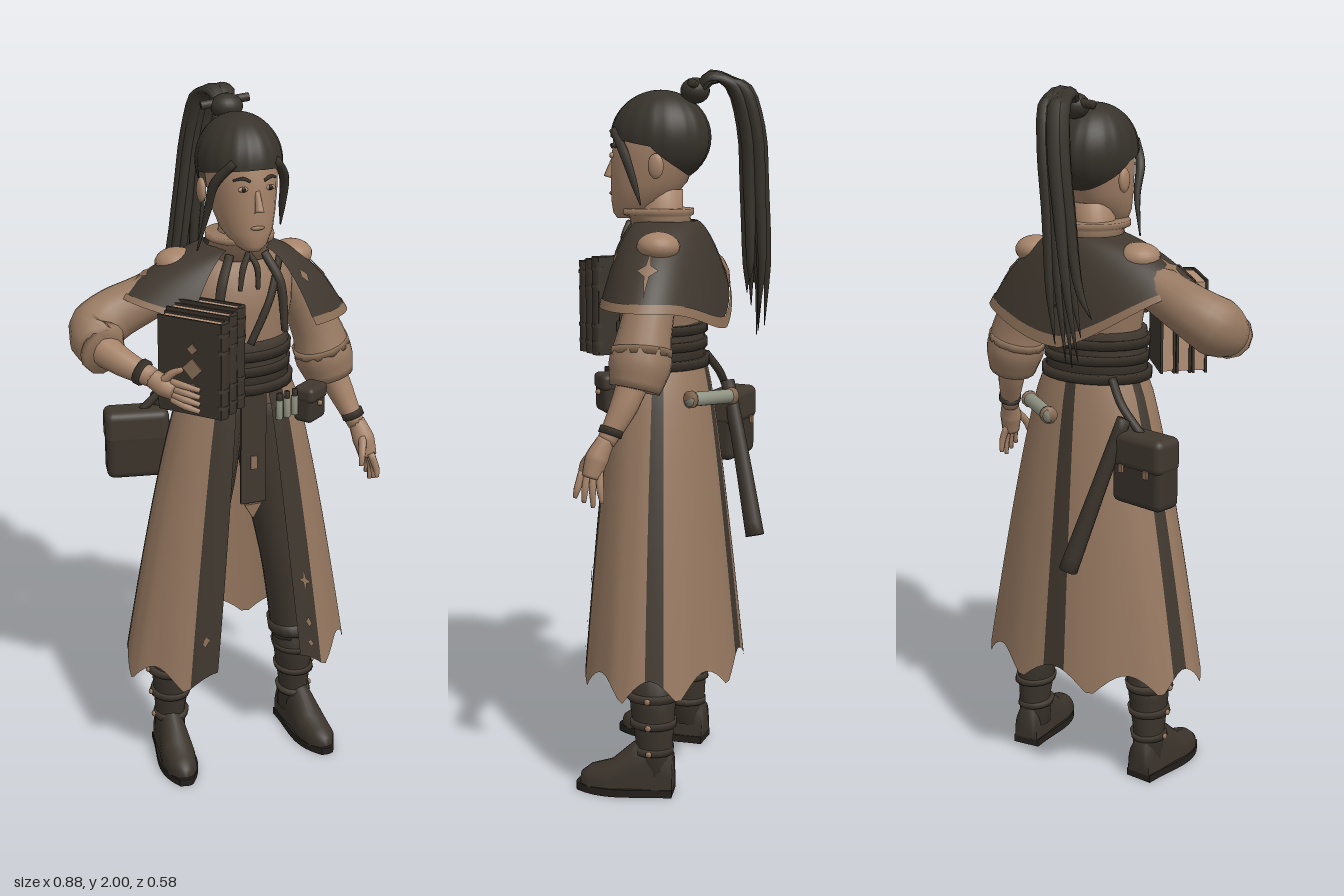
import * as THREE from 'three';
import { mergeVertices } from 'three/addons/utils/BufferGeometryUtils.js';
import { RoundedBoxGeometry } from 'three/addons/geometries/RoundedBoxGeometry.js';

const paint = (name, color) => {
  const m = new THREE.MeshStandardMaterial({ color, side: THREE.DoubleSide });
  m.name = name;
  return m;
};
const V = (x, y, z) => new THREE.Vector3(x, y, z);
const rad = THREE.MathUtils.degToRad;

export function createModel() {
  const root = new THREE.Group();
  root.name = 'travellingScholar';
  const skin = paint('skin', 0xa58369), tan = paint('tanCloth', 0x977961), dark = paint('darkCloth', 0x40382f);
  const hair = paint('hair', 0x37322b), leather = paint('leather', 0x3a332b), trim = paint('trim', 0x8c7058);
  const paper = paint('paper', 0xb29076), glass = paint('paleGlass', 0x8f9282), ink = paint('ink', 0x231f1b);

  const add = (name, geo, mat, x = 0, y = 0, z = 0, parent = root) => {
    const m = new THREE.Mesh(geo, mat);
    m.name = name;
    m.position.set(x, y, z);
    parent.add(m);
    return m;
  };
  // Grid surface from a rule f(u, v)
  const surf = (name, f, nu, nv, mat, parent) => {
    const pos = [], idx = [];
    for (let j = 0; j <= nv; j++) for (let i = 0; i <= nu; i++) pos.push(...f(i / nu, j / nv).toArray());
    for (let j = 0; j < nv; j++) for (let i = 0; i < nu; i++) {
      const a = j * (nu + 1) + i, b = a + nu + 1;
      idx.push(a, a + 1, b, a + 1, b + 1, b);
    }
    let g = new THREE.BufferGeometry();
    g.setAttribute('position', new THREE.Float32BufferAttribute(pos, 3));
    g.setIndex(idx);
    g = mergeVertices(g, 1e-5);
    g.computeVertexNormals();
    return add(name, g, mat, 0, 0, 0, parent);
  };
  // Stack of horizontal elliptical rings [x, y, z, rx, rz], closed at both ends
  const loft = (name, rings, mat, seg = 24) => {
    const first = rings[0], last = rings[rings.length - 1];
    const all = [[...first.slice(0, 3), 0, 0], ...rings, [...last.slice(0, 3), 0, 0]];
    return surf(name, (u, v) => {
      const [x, y, z, rx, rz] = all[Math.round(v * (all.length - 1))], a = u * Math.PI * 2;
      return V(x + rx * Math.sin(a), y, z + rz * Math.cos(a));
    }, seg, all.length - 1, mat);
  };
  // Tapered limb through points [x, y, z, radius]
  const limb = (name, pts, mat, seg = 12, steps = 14) => {
    const curve = new THREE.CatmullRomCurve3(pts.map(p => V(p[0], p[1], p[2])));
    const fr = curve.computeFrenetFrames(steps, false), n = pts.length - 1;
    return surf(name, (u, v) => {
      const k = Math.round(v * (steps + 2)) - 1, s = Math.min(steps, Math.max(0, k));
      const t = s / steps * n, i = Math.min(n - 1, Math.floor(t));
      const r = k === s ? THREE.MathUtils.lerp(pts[i][3], pts[i + 1][3], t - i) : 0, a = u * Math.PI * 2;
      return curve.getPoint(s / steps).addScaledVector(fr.normals[s], r * Math.cos(a)).addScaledVector(fr.binormals[s], r * Math.sin(a));
    }, seg, steps + 2, mat);
  };
  const rod = (name, a, b, r, mat) => limb(name, [[...a, r], [...b, r]], mat, 12, 1);
  const ball = (name, x, y, z, rx, ry, rz, mat) => {
    const m = add(name, new THREE.SphereGeometry(1, 20, 14), mat, x, y, z);
    m.scale.set(rx, ry, rz);
    return m;
  };
  // Diamond decal lying on a surface rule
  const diamond = (name, rule, a, t, da, dt) => surf(name, (u, v) =>
    rule(a + da * (u - v), t + dt * (u + v - 1), 0.004), 4, 4, trim);
  const star = (name, rule, a, t, da, dt) => {
    diamond(name, rule, a, t, da, dt * 0.3);
    diamond(name, rule, a, t, da * 0.3, dt);
  };

  // Torso, corset and belts
  loft('shirt', [[.04, 1.15, 0, .15, .115], [.04, 1.25, 0, .14, .105], [.04, 1.33, -.01, .145, .11], [.04, 1.42, -.015, .162, .125],
    [.04, 1.49, -.02, .17, .118], [.04, 1.54, -.02, .14, .095], [.042, 1.58, -.01, .075, .07]], tan);
  loft('corset', [[.035, 1.19, 0, .158, .125], [.035, 1.25, 0, .15, .117], [.035, 1.31, 0, .154, .12], [.035, 1.335, 0, .15, .118]], dark);
  for (const [y, r] of [[1.3, .16], [1.255, .158], [1.205, .166]])
    loft('belt', [[.035, y - .013, 0, r, r - .033], [.035, y + .013, 0, r, r - .033]], leather);
  limb('chestStrap', [[.14, 1.56, .06, .011], [.09, 1.46, .115, .011], [.03, 1.34, .125, .011]], leather, 6);
  for (const s of [-1, 1]) {
    limb('neckRibbon', [[.035, 1.59, .095, .008], [.035 + s * .02, 1.55, .105, .009], [.03 + s * .026, 1.49, .112, .006]], dark, 6);
    limb('shirtEdge', [[.04 + s * .05, 1.58, .07, .012], [.04 + s * .085, 1.5, .1, .014], [.04 + s * .1, 1.36, .105, .01]], dark, 6);
  }

  // Neck and collar
  loft('neck', [[.042, 1.54, -.015, .065, .06], [.042, 1.6, 0, .056, .06], [.042, 1.68, .005, .055, .065]], skin);
  loft('collar', [[.042, 1.56, -.005, .088, .085], [.042, 1.605, .005, .08, .085], [.042, 1.612, .01, .094, .1], [.042, 1.628, .01, .094, .1]], tan);

  // Head
  loft('head', [[.042, 1.6, .095, .026, .032], [.042, 1.615, .085, .045, .052], [.042, 1.65, .058, .069, .084], [.042, 1.7, .035, .083, .107],
    [.042, 1.76, .022, .092, .118], [.042, 1.82, .01, .096, .125], [.042, 1.88, 0, .085, .11], [.042, 1.92, 0, .05, .06]], skin);
  limb('nose', [[.042, 1.765, .135, .007], [.042, 1.73, .147, .011], [.042, 1.712, .152, .014]], skin, 8, 6);
  ball('mouth', .042, 1.668, .14, .02, .006, .008, trim);
  for (const s of [-1, 1]) {
    const x = .042 + s * .038;
    ball('eye', x, 1.772, .13, .015, .007, .006, paper);
    ball('pupil', x, 1.772, .134, .006, .007, .004, ink);
    limb('eyebrow', [[x - s * .018, 1.793, .135, .004], [x, 1.801, .131, .005], [x + s * .022, 1.794, .114, .003]], hair, 6, 6);
    ball('ear', .042 + s * .103, 1.745, -.01, .012, .034, .022, skin);
    // Loose locks beside the face
    limb('sideLock', [[.042 + s * .06, 1.84, .12, .012], [.042 + s * .1, 1.78, .08, .014], [.042 + s * .108, 1.7, .05, .01],
      [.042 + s * (s < 0 ? .13 : .112), s < 0 ? 1.59 : 1.64, .03, .002]], hair, 7);
  }

  // Combed hair cap with grooves running to the knot
  surf('hairCap', (u, v) => {
    const a = u * Math.PI * 2, c = Math.cos(a);
    const low = c > 0 ? 1.555 + .2 * (1 - c) : 1.755 + .75 * Math.pow(-c, .8);
    const th = v * low, r = 1 + .022 * Math.abs(Math.sin(a * 9)) * Math.sin(th);
    return V(.042 + .113 * r * Math.sin(a) * Math.sin(th), 1.82 + .128 * Math.cos(th), .002 + .137 * r * c * Math.sin(th));
  }, 72, 16, hair);
  ball('hairKnot', .045, 1.945, -.095, .045, .035, .04, hair);
  rod('hairPin', [-.025, 1.95, -.105], [.11, 1.965, -.1], .012, leather);
  for (let i = 0; i < 9; i++) {
    const s = (i - 4) / 4, w = Math.sin(i * 2.4), end = 1.28 + .13 * Math.abs(s) + .05 * w;
    limb('ponytailLock', [[.045, 1.93, -.1, .012], [.045 + s * .02, 1.975 + w * .01, -.135, .022], [.03 + s * .025, 1.962, -.205 + w * .012, .022],
      [.01 + s * .026, 1.85, -.242 + w * .018, .02], [-.01 + s * .03, 1.68, -.25 + w * .022, .017],
      [-.03 + s * .045, 1.48, -.255 + w * .025, .012], [-.05 + s * .06, end, -.25 + w * .02, .001]], hair, 7, 20);
  }

  // Shoulder capelet, raised over the bent arm and pointed at the back
  const cape = (a, v, lift = 0) => {
    const s = Math.sin(a), c = Math.cos(a);
    const y = 1.595 - .05 * v - .175 * v * v + .1 * v * v * Math.max(0, -s) - .07 * v * v * Math.pow(Math.max(0, -c), 4);
    return V(.04 + (.088 + .245 * v + lift) * s, y + lift, -.015 + (.085 + .085 * v + lift) * c);
  };
  const capeAngle = u => rad(33 + 294 * u);
  surf('capelet', (u, v) => cape(capeAngle(u), v * .94), 60, 12, dark);
  surf('capeletHem', (u, v) => cape(capeAngle(u), .94 + v * .06, .002), 60, 2, trim);
  star('capeletEmblem', cape, rad(95), .7, rad(11), .2);
  star('capeletEmblem', cape, rad(-95), .7, rad(11), .2);
  diamond('frontEmblem', cape, rad(43), .6, rad(4), .08);
  ball('bareShoulder', -.125, 1.545, -.035, .06, .04, .058, skin);
  ball('bareShoulder', .215, 1.535, -.035, .06, .04, .058, skin);

  // Long coat skirt in panels, open at the front, ragged hem
  const skirt = (a, t, lift = 0) => {
    const s = Math.sin(a), c = Math.cos(a), w = Math.pow(t, .78);
    const hem = .3 + .07 * Math.abs(Math.sin(a * 4.5)), fold = 1 + .02 * t * Math.cos(a * 9);
    return V(.04 + (.155 + .185 * w + lift) * fold * s, 1.2 - (1.2 - hem) * t, -.01 * t + (.125 + .095 * w + lift) * fold * c);
  };
  const panels = [['frontBand', 17, 37, dark], ['sidePanel', 37, 97, tan], ['sideStripe', 97, 110, dark], ['backPanel', 110, 174, tan], ['backStripe', 174, 180, dark]];
  for (const side of [-1, 1]) for (const [name, a0, a1, mat] of panels)
    surf(name, (u, v) => {
      const open = name === 'frontBand' ? 6 * v * (1 - u) : 0;
      return skirt(side * rad(a0 + (a1 - a0) * u + open), v);
    }, Math.max(3, Math.round((a1 - a0) / 4)), 16, mat);
  star('skirtEmblem', skirt, rad(30), .7, rad(5), .04);
  diamond('skirtDiamond', skirt, rad(30), .86, rad(2), .02);
  diamond('skirtDiamond', skirt, rad(-30), .86, rad(2), .02);
  diamond('skirtDiamond', skirt, rad(30), .94, rad(2), .015);

  // Hanging front cloth
  add('frontCloth', new THREE.BoxGeometry(.075, .33, .009), dark, .04, 1.03, .125);
  add('frontClothTip', new THREE.CylinderGeometry(.03, .03, .009, 3), trim, .04, .845, .125).rotation.x = Math.PI / 2;
  add('clothBuckle', new THREE.BoxGeometry(.02, .04, .012), trim, .04, .99, .128);

  // Legs, boots and shoes
  for (const s of [-1, 1]) {
    const x = k => .04 + s * k;
    limb('trouserLeg', [[x(.07), 1.15, 0, .09], [x(.1), .92, .01, .088], [x(.145), .62, .015, .068], [x(.185), .34, -.015, .058]], dark, 16);
    loft('bootShaft', [[x(.205), .06, -.03, .046, .055], [x(.205), .14, -.03, .044, .052], [x(.2), .25, -.025, .057, .064], [x(.19), .36, -.02, .064, .068]], leather, 18);
    loft('bootCuff', [[x(.19), .345, -.02, .07, .075], [x(.187), .385, -.018, .074, .078]], leather, 18);
    for (const y of [.12, .2, .28]) {
      const r = .047 + (y - .12) * .1;
      loft('bootStrap', [[x(.205), y, -.027, r + .005, r + .011], [x(.2), y + .018, -.027, r + .005, r + .011]], dark, 18);
      ball('strapStud', x(.205 + r + .006), y + .009, -.027, .006, .009, .009, trim);
    }
    const foot = new THREE.Group();
    foot.name = 'shoe';
    foot.position.set(x(.208), 0, -.03);
    foot.rotation.y = s * .1;
    root.add(foot);
    const outline = new THREE.Shape();
    outline.moveTo(-.042, .055);
    outline.bezierCurveTo(-.045, -.06, -.085, -.13, -.02, -.218);
    outline.bezierCurveTo(0, -.224, .01, -.224, .02, -.218);
    outline.bezierCurveTo(.085, -.13, .045, -.06, .042, .055);
    const sole = new THREE.ExtrudeGeometry(outline, { depth: .022, bevelEnabled: false, curveSegments: 10 });
    add('sole', sole.rotateX(-Math.PI / 2), ink, 0, 0, 0, foot);
    const top = [[-.055, .038, 0], [-.055, .038, .1], [0, .044, .15], [.06, .045, .125], [.12, .052, .07], [.18, .043, .052], [.208, .022, .03], [.213, 0, 0]];
    surf('upper', (u, v) => {
      const [z, w, h] = top[Math.round(v * 7)], a = u * Math.PI;
      return V(w * Math.cos(a), .02 + h * Math.pow(Math.sin(a), .7), z);
    }, 14, 7, leather, foot);
  }

  // Lowered left arm
  limb('leftSleeve', [[.19, 1.5, -.025, .06], [.255, 1.39, -.025, .066], [.29, 1.31, -.018, .072], [.312, 1.23, -.01, .086], [.33, 1.165, 0, .068]], tan, 18);
  rod('leftCuff', [.3, 1.27, -.012], [.306, 1.25, -.012], .084, trim);
  limb('leftForearm', [[.325, 1.2, 0, .045], [.355, 1.12, .025, .038], [.388, 1.03, .065, .025]], skin);
  rod('leftBracelet', [.377, 1.068, .05], [.383, 1.05, .055], .033, leather);
  limb('leftPalm', [[.388, 1.04, .062, .024], [.402, .99, .085, .032], [.412, .94, .098, .026]], skin);
  for (let i = 0; i < 4; i++)
    limb('leftFinger', [[.41, .955, .075 + i * .016, .011], [.424, .91, .07 + i * .021, .01], [.424, .862 + Math.abs(i - 1) * .012, .065 + i * .025, .006]], skin, 8, 6);
  limb('leftThumb', [[.393, 1.0, .1, .013], [.378, .965, .13, .011], [.372, .93, .14, .007]], skin, 8, 6);

  // Bent right arm
  limb('rightSleeve', [[-.11, 1.5, -.03, .06], [-.22, 1.45, -.04, .066], [-.31, 1.41, -.045, .074], [-.363, 1.375, -.02, .083], [-.365, 1.345, .04, .062]], tan, 18);
  rod('rightCuff', [-.367, 1.347, .03], [-.36, 1.343, .05], .066, trim);
  limb('rightForearm', [[-.365, 1.35, .025, .048], [-.325, 1.325, .095, .038], [-.262, 1.295, .165, .026]], skin);
  rod('rightBracelet', [-.292, 1.31, .132], [-.28, 1.304, .146], .036, leather);
  limb('rightPalm', [[-.268, 1.298, .16, .025], [-.242, 1.28, .187, .03], [-.22, 1.268, .21, .024]], skin);
  for (let i = 0; i < 4; i++)
    limb('rightFinger', [[-.226, 1.295 - i * .016, .205, .011], [-.2, 1.29 - i * .019, .235, .01], [-.168, 1.282 - i * .02, .262, .007]], skin, 8, 6);
  limb('rightThumb', [[-.25, 1.29, .19, .013], [-.228, 1.32, .21, .011], [-.205, 1.335, .23, .007]], skin, 8, 6);

  // Three books held upright against the chest
  const books = new THREE.Group();
  books.name = 'books';
  books.position.set(-.13, 1.2, .172);
  books.rotation.y = .71;
  root.add(books);
  for (let i = 0; i < 3; i++) {
    const x = (i - 1) * .045, h = .265 + i * .009, b = .19;
    for (const s of [-1, 1]) add('bookCover', new THREE.BoxGeometry(.007, h, b), leather, x + s * .018, h / 2, 0, books);
    add('pages', new THREE.BoxGeometry(.03, h - .012, b - .014), paper, x, h / 2, -.002, books);
    add('spine', new THREE.CylinderGeometry(.0215, .0215, h, 14, 1, false, -Math.PI / 2, Math.PI), leather, x, h / 2, b / 2 - .006, books).scale.z = .7;
    for (const k of [.12, .3, .7, .88]) add('spineRib', new THREE.CylinderGeometry(.0235, .0235, .01, 14), dark, x, h * k, b / 2 - .006, books).scale.z = .72;
  }
  for (const [y, r] of [[.13, .042], [.185, .022], [.075, .022]]) {
    const d = add('coverOrnament', new THREE.BoxGeometry(.004, r, r), trim, -.068, y, .01, books);
    d.rotation.x = Math.PI / 4;
  }

  // Satchel, club and scroll behind the hips
  const bag = new THREE.Group();
  bag.name = 'satchel';
  bag.position.set(-.215, .985, -.145);
  bag.rotation.y = -.2;
  root.add(bag);
  add('bagBody', new RoundedBoxGeometry(.18, .2, .09, 3, .022), leather, 0, 0, 0, bag);
  add('bagFlap', new RoundedBoxGeometry(.186, .1, .096, 3, .022), dark, 0, .054, -.002, bag);
  for (const s of [-1, 1]) add('bagClasp', new THREE.BoxGeometry(.014, .022, .008), trim, s * .045, .005, -.05, bag);
  limb('bagStrap', [[-.2, 1.08, -.14, .012], [-.13, 1.15, -.13, .012], [-.08, 1.21, -.1, .012]], leather, 8);
  limb('club', [[-.15, 1.12, -.15, .02], [-.1, .93, -.2, .022], [-.035, .69, -.258, .027]], leather, 10);
  rod('scroll', [.19, 1.12, -.115], [.055, 1.112, -.21], .02, glass);
  for (const [a, b] of [[[.19, 1.12, -.115], [.18, 1.1195, -.122]], [[.068, 1.113, -.2], [.055, 1.112, -.21]]]) rod('scrollCap', a, b, .024, trim);

  // Belt pouch and vials
  const pouch = add('pouch', new RoundedBoxGeometry(.085, .1, .06, 3, .015), leather, .222, 1.135, .1);
  pouch.rotation.y = .6;
  const flap = add('pouchFlap', new RoundedBoxGeometry(.09, .045, .065, 3, .014), dark, .223, 1.168, .101);
  flap.rotation.y = .6;
  ball('pouchButton', .241, 1.14, .127, .008, .008, .008, trim);
  for (let i = 0; i < 3; i++) {
    const x = .112 + i * .027, z = .139 - i * .009;
    rod('vial', [x, 1.115, z], [x, 1.17, z], .01, glass);
    rod('vialStopper', [x, 1.17, z], [x, 1.19, z], .008, leather);
  }
  return root;
}
